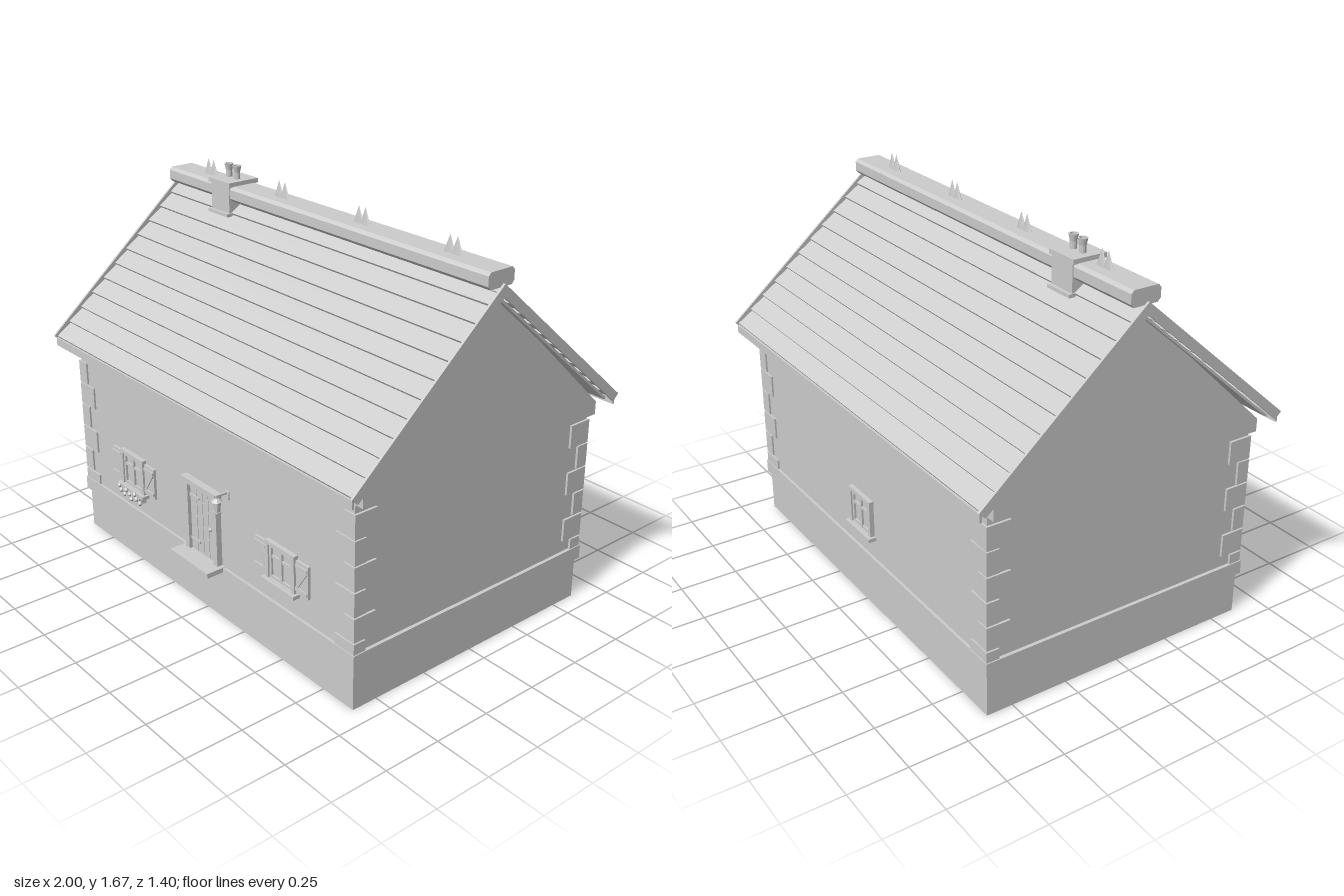
import * as THREE from 'three';

const grey = new THREE.MeshStandardMaterial({ color: 0xcccccc });
const faceted = new THREE.MeshStandardMaterial({ color: 0xcccccc, flatShading: true });

function add(parent, name, geometry, x = 0, y = 0, z = 0, material = grey) {
  const mesh = new THREE.Mesh(geometry, material);
  mesh.name = name;
  mesh.position.set(x, y, z);
  parent.add(mesh);
  return mesh;
}

// Box given by its extents on each axis
function block(parent, name, x0, x1, y0, y1, z0, z1) {
  return add(parent, name, new THREE.BoxGeometry(x1 - x0, y1 - y0, z1 - z0),
    (x0 + x1) / 2, (y0 + y1) / 2, (z0 + z1) / 2);
}

function group(parent, name, x = 0, y = 0, z = 0) {
  const g = new THREE.Group();
  g.name = name;
  g.position.set(x, y, z);
  parent.add(g);
  return g;
}

// Symmetric (z, y) profile extruded along x
function prism(parent, name, points, x0, x1) {
  const shape = new THREE.Shape(points.map(([a, b]) => new THREE.Vector2(a, b)));
  const geometry = new THREE.ExtrudeGeometry(shape, { depth: x1 - x0, bevelEnabled: false });
  geometry.rotateY(Math.PI / 2);
  return add(parent, name, geometry, x0);
}

// Framed window with cross bars, its back on local z = 0
function makeWindow(parent, name, x, z) {
  const w = group(parent, name, x, 0, z);
  const shape = new THREE.Shape();
  shape.moveTo(-0.088, 0.35).lineTo(0.088, 0.35).lineTo(0.088, 0.515).lineTo(-0.088, 0.515);
  const hole = new THREE.Path();
  hole.moveTo(-0.07, 0.355).lineTo(-0.07, 0.5).lineTo(0.07, 0.5).lineTo(0.07, 0.355);
  shape.holes.push(hole);
  add(w, 'windowFrame', new THREE.ExtrudeGeometry(shape, { depth: 0.02, bevelEnabled: false }));
  block(w, 'pane', -0.07, 0.07, 0.355, 0.5, -0.01, 0.004);
  for (const px of [-0.064, 0, 0.064]) block(w, 'mullion', px - 0.006, px + 0.006, 0.355, 0.5, 0, 0.013);
  for (const py of [0.361, 0.45, 0.494]) block(w, 'glazingBar', -0.07, 0.07, py - 0.006, py + 0.006, 0, 0.012);
  block(w, 'sill', -0.1, 0.1, 0.337, 0.353, 0, 0.035);
  return w;
}

// Pair of opened shutters with ledges and a diagonal brace
function addShutters(w) {
  for (const s of [-1, 1]) {
    const shutter = group(w, 'shutter', s * 0.126, 0.43, 0);
    block(shutter, 'shutterBoard', -0.036, 0.036, -0.07, 0.07, 0, 0.012);
    for (const y of [-0.05, 0.05]) block(shutter, 'ledge', -0.034, 0.034, y - 0.007, y + 0.007, 0.01, 0.018);
    block(shutter, 'brace', -0.052, 0.052, -0.006, 0.006, 0.01, 0.017).rotation.z = s * 0.97;
  }
}

function addFlowerBox(w) {
  const box = group(w, 'flowerBox');
  block(box, 'planter', -0.075, 0.075, 0.308, 0.337, 0, 0.038);
  const bloom = new THREE.IcosahedronGeometry(0.012, 0);
  for (let i = 0; i < 9; i++) {
    add(box, 'flower', bloom, -0.08 + i * 0.02, 0.345 - 0.014 * (i % 3), 0.037 + 0.005 * (i % 2), faceted);
  }
}

function makeDoor(parent) {
  const d = group(parent, 'door', 0, 0, 0.615);
  block(d, 'doorLeaf', -0.085, 0.085, 0.25, 0.558, 0, 0.01);
  for (const s of [-1, 1]) {
    block(d, 'doorJamb', s * 0.098 - 0.014, s * 0.098 + 0.014, 0.25, 0.558, 0, 0.025);
  }
  block(d, 'lintel', -0.12, 0.12, 0.557, 0.58, 0, 0.032);
  block(d, 'doorstep', -0.132, 0.132, 0.229, 0.25, -0.01, 0.09);
  for (const y of [0.3, 0.5]) block(d, 'strapHinge', -0.083, -0.02, y - 0.006, y + 0.006, 0.008, 0.016);
  for (const x of [-0.04, 0, 0.04]) block(d, 'batten', x - 0.002, x + 0.002, 0.252, 0.556, 0.008, 0.012);
  add(d, 'doorKnob', new THREE.SphereGeometry(0.009, 10, 8), 0.065, 0.4, 0.02);
}

function makeLamp(parent) {
  const l = group(parent, 'wallLamp', 0.165, 0, 0.615);
  block(l, 'lampPlate', -0.012, 0.012, 0.575, 0.61, 0, 0.006);
  block(l, 'lampArm', -0.004, 0.004, 0.6, 0.608, 0, 0.058);
  add(l, 'lampHook', new THREE.CylinderGeometry(0.003, 0.003, 0.02, 6), 0, 0.6, 0.054);
  add(l, 'lampCap', new THREE.CylinderGeometry(0.008, 0.024, 0.012, 6), 0, 0.588, 0.054, faceted);
  add(l, 'lampGlass', new THREE.CylinderGeometry(0.018, 0.014, 0.045, 6), 0, 0.56, 0.054, faceted);
  add(l, 'lampBase', new THREE.CylinderGeometry(0.018, 0.018, 0.006, 6), 0, 0.535, 0.054, faceted);
}

// Alternating long and short stones at each corner
function addCornerStones(parent) {
  const tops = [0.825, 0.72, 0.614, 0.507, 0.4, 0.293];
  const corners = group(parent, 'cornerStones');
  for (const sx of [-1, 1]) for (const sz of [-1, 1]) {
    tops.forEach((top, i) => {
      const bottom = i < 5 ? top - 0.1 : 0.245;
      const w = i % 2 ? 0.108 : 0.06, d = i % 2 ? 0.056 : 0.105;
      add(corners, 'cornerStone', new THREE.BoxGeometry(w, top - bottom, d),
        sx * (0.93 - w / 2), (top + bottom) / 2, sz * (0.623 - d / 2));
    });
  }
}

// One slope of overlapping planks; the other is this one turned around
function addRoofSlope(parent, name, turn) {
  const side = group(parent, name);
  side.rotation.y = turn;
  const slope = group(side, 'slope', 0, 1.545, 0);
  slope.rotation.x = 0.7166;
  const plank = new THREE.BoxGeometry(1.98, 0.015, 0.092);
  for (let k = 0; k < 11; k++) {
    add(slope, 'roofPlank', plank, 0, -0.021, (k + 0.5) * 0.083).rotation.x = -0.13;
  }
  block(slope, 'roofDeck', -0.985, 0.985, -0.049, -0.039, 0.02, 0.885);
  block(side, 'eaveBoard', -0.99, 0.99, 0.895, 0.93, 0.682, 0.692);
}

function makeChimney(parent) {
  const c = group(parent, 'chimney', -0.59, 0, 0);
  block(c, 'chimneyStack', -0.063, 0.063, 1.47, 1.6, -0.07, 0.07);
  block(c, 'chimneyFlashing', -0.068, 0.068, 1.468, 1.482, -0.086, 0.086);
  block(c, 'chimneyCap', -0.075, 0.075, 1.596, 1.616, -0.076, 0.076);
  const profile = [[0.014, 0], [0.014, 0.03], [0.02, 0.058], [0.014, 0.058], [0.01, 0.01], [0, 0.01]]
    .map(([r, y]) => new THREE.Vector2(r, y));
  for (const x of [-0.028, 0.028]) {
    add(c, 'chimneyPot', new THREE.LatheGeometry(profile, 12), x, 1.615, 0,
      new THREE.MeshStandardMaterial({ color: 0xcccccc, flatShading: true, side: THREE.DoubleSide }));
  }
}

export function createModel() {
  const house = new THREE.Group();
  house.name = 'cottage';

  // Walls and gables
  block(house, 'walls', -0.92, 0.92, 0, 0.865, -0.615, 0.615);
  block(house, 'plinthBand', -0.935, 0.935, 0.188, 0.248, -0.627, 0.627);
  prism(house, 'gableBlock', [[-0.615, 0.86], [0.615, 0.86], [0.615, 0.915], [0, 1.5], [-0.615, 0.915]], -0.96, 0.96);
  addCornerStones(house);

  // Openings
  const potted = makeWindow(house, 'frontRightWindow', -0.518, 0.615);
  addShutters(potted);
  addFlowerBox(potted);
  addShutters(makeWindow(house, 'frontLeftWindow', 0.513, 0.615));
  makeWindow(house, 'backWindow', 0, -0.615).rotation.y = Math.PI;
  makeDoor(house);
  makeLamp(house);

  // Roof
  const roof = group(house, 'roof');
  addRoofSlope(roof, 'frontSlope', 0);
  addRoofSlope(roof, 'backSlope', Math.PI);
  const barge = [[0.7, 0.94], [0, 1.55], [-0.7, 0.94], [-0.673, 0.913], [0, 1.499], [0.673, 0.913]];
  prism(roof, 'leftBargeboard', barge, 0.99, 1);
  prism(roof, 'rightBargeboard', barge, -1, -0.99);

  // Ridge cap, chamfered along its edges
  prism(roof, 'ridgeCap', [[-0.054, 1.532], [0.054, 1.532], [0.066, 1.546], [0.066, 1.585],
    [0.054, 1.598], [-0.054, 1.598], [-0.066, 1.585], [-0.066, 1.546]], -0.98, 0.98);

  // Pairs of flattened ridge spikes
  const spike = new THREE.ConeGeometry(0.03, 0.07, 8).scale(1, 1, 0.3);
  for (const x of [-0.75, -0.25, 0.247, 0.743]) {
    for (const s of [-1, 1]) add(roof, 'ridgeSpike', spike, x + s * 0.019, 1.633, 0, faceted);
  }
  makeChimney(house);
  return house;
}
